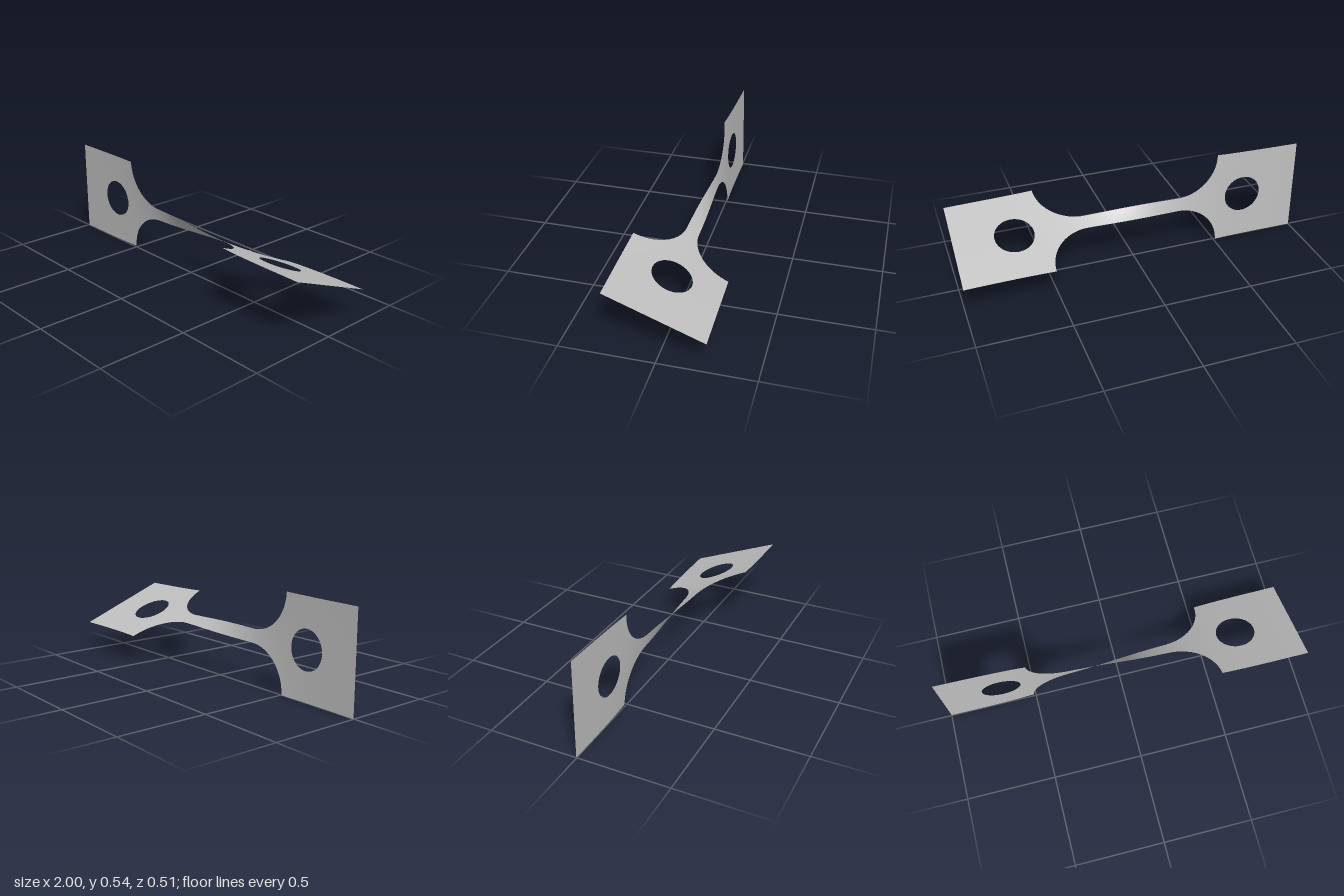
import * as THREE from 'three';
import { mergeGeometries, mergeVertices } from 'three/addons/utils/BufferGeometryUtils.js';

const HALF = 0.271;      // half width of the end plates
const PLATE = 0.51;      // inner edge of the plates along x
const FILLET = 0.24;     // radius of the neck fillets
const NECK = 0.038;      // half width of the bar
const HOLE_X = 0.672, HOLE_R = 0.108;

// Half width of the flat dog-bone outline
function halfWidth(x) {
  const a = Math.abs(x);
  if (a >= PLATE) return HALF;
  const d = a - (PLATE - FILLET);
  if (d <= 0) return NECK;
  return NECK + (HALF - NECK) * (1 - Math.sqrt(Math.max(0, 1 - (d / FILLET) ** 2)));
}

// Half height of the bolt hole
function holeHalf(x) {
  const d = Math.abs(x) - HOLE_X;
  return Math.sqrt(Math.max(0, HOLE_R * HOLE_R - d * d));
}

// Twist the flat sheet about its length
function twist(geometry) {
  const p = geometry.attributes.position;
  for (let i = 0; i < p.count; i++) {
    const x = p.getX(i), v = p.getY(i);
    const angle = THREE.MathUtils.degToRad(34.5 + 34 * Math.tanh(3.3 * x));
    const cy = 0.271 + 0.001 * (1 + x) + 0.004 * (1 - x * x) * (1 + x);
    const cz = 0.0065 * (1 - x * x);
    p.setXYZ(i, x, cy + v * Math.cos(angle), cz + v * Math.sin(angle));
  }
}

// Flat strip between a lower and an upper edge; ease bunches columns at its ends
function strip(x0, x1, columns, rows, low, high, ease = (t) => t) {
  const g = new THREE.PlaneGeometry(1, 1, columns, rows);
  const p = g.attributes.position;
  for (let i = 0; i < p.count; i++) {
    const x = x0 + (x1 - x0) * ease(p.getX(i) + 0.5);
    p.setXYZ(i, x, THREE.MathUtils.lerp(low(x), high(x), p.getY(i) + 0.5), 0);
  }
  g.deleteAttribute('uv');
  g.deleteAttribute('normal');
  return g;
}

export function createModel() {
  const group = new THREE.Group();
  group.name = 'twistedSpecimen';
  const metal = new THREE.MeshStandardMaterial({ color: 0xc0c0c0, side: THREE.DoubleSide });
  metal.name = 'light grey metal';

  const bottom = (x) => -halfWidth(x);
  const plateLow = () => -HALF, plateHigh = () => HALF;
  const cosine = (t) => (1 - Math.cos(Math.PI * t)) / 2;
  const quarter = (t) => 1 - Math.cos(t * Math.PI / 2);
  const quarterOut = (t) => Math.sin(t * Math.PI / 2);
  const pieces = [];

  // End plates with round holes
  for (const s of [-1, 1]) {
    const spans = [[HOLE_X + HOLE_R, 1], [PLATE, HOLE_X - HOLE_R]];
    for (const [a, b] of spans) {
      pieces.push(strip(Math.min(s * a, s * b), Math.max(s * a, s * b), 10, 12, plateLow, plateHigh));
    }
    const x0 = s * HOLE_X - HOLE_R, x1 = s * HOLE_X + HOLE_R;
    pieces.push(strip(x0, x1, 32, 6, holeHalf, plateHigh, cosine));
    pieces.push(strip(x0, x1, 32, 6, plateLow, (x) => -holeHalf(x), cosine));
  }

  // Curved shoulders and the twisted bar between them
  const inner = PLATE - FILLET;
  pieces.push(strip(-PLATE, -inner, 28, 12, bottom, halfWidth, quarter));
  pieces.push(strip(-inner, inner, 40, 12, bottom, halfWidth));
  pieces.push(strip(inner, PLATE, 28, 12, bottom, halfWidth, quarterOut));

  const sheet = mergeVertices(mergeGeometries(pieces), 1e-5);
  twist(sheet);
  sheet.computeVertexNormals();

  const mesh = new THREE.Mesh(sheet, metal);
  mesh.name = 'twistedSheet';
  group.add(mesh);
  return group;
}
